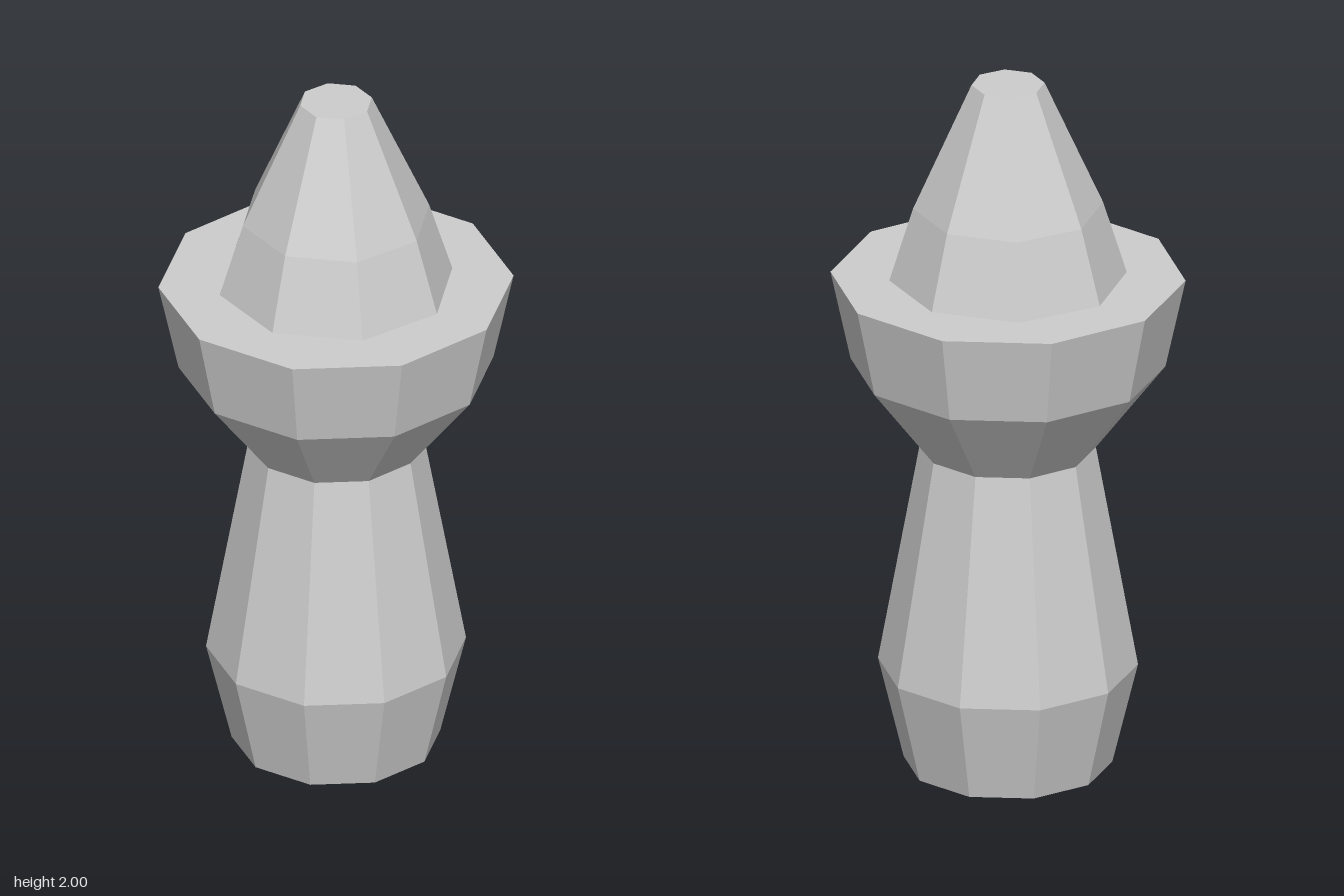
import * as THREE from 'three';

const stone = new THREE.MeshStandardMaterial({ color: 0xcccccc, flatShading: true });
stone.name = 'pale grey';

// Faceted turned part from [radius, height] pairs, bottom to top, with a corner on +x
function turned(name, profile, sides) {
  const points = profile.map(([r, y]) => new THREE.Vector2(r, y));
  const geometry = new THREE.LatheGeometry(points, sides, Math.PI / 2).toNonIndexed();
  geometry.computeVertexNormals();
  const mesh = new THREE.Mesh(geometry, stone);
  mesh.name = name;
  return mesh;
}

export function createModel() {
  const model = new THREE.Group();
  model.name = 'turnedPiece';

  // Ten-sided stem, closed underneath
  model.add(turned('stem', [[0, 0], [0.285, 0], [0.355, 0.29], [0.24, 0.93]], 10));

  // Ten-sided flared collar with a flat top
  model.add(turned('collar', [[0.24, 0.93], [0.43, 1.175], [0.485, 1.43], [0, 1.43]], 10));

  // Eight-sided tapering head with a flat tip
  model.add(turned('head', [[0.325, 1.43], [0.26, 1.64], [0.1, 2], [0, 2]], 8));

  return model;
}
